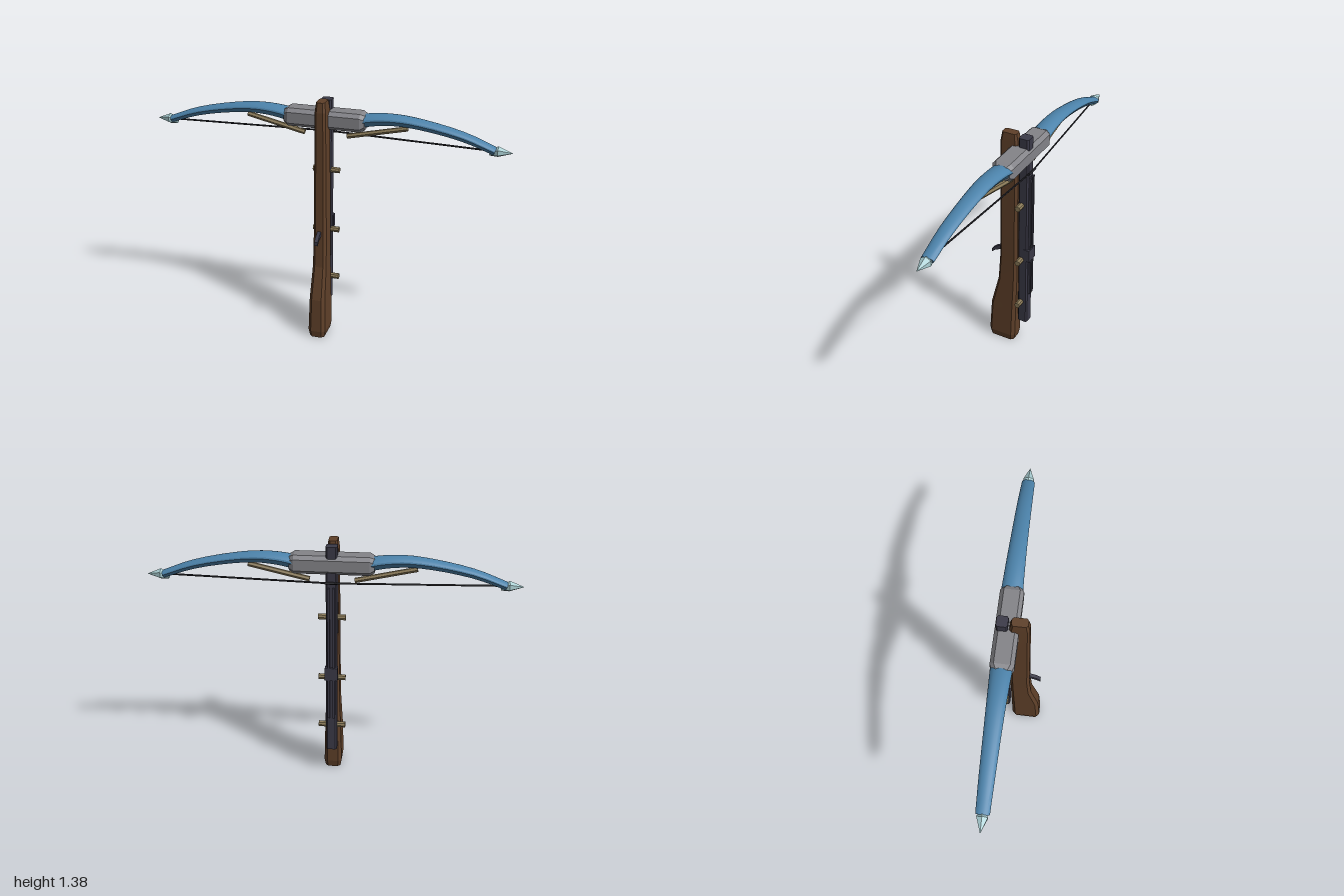
import * as THREE from 'three';
import { toCreasedNormals } from 'three/addons/utils/BufferGeometryUtils.js';

const material = (name, color, side = THREE.FrontSide) => {
  const m = new THREE.MeshStandardMaterial({ color, side });
  m.name = name;
  return m;
};

// Joins rings of points (counter-clockwise about the direction of travel) and caps both ends.
function loft(rings, crease = 0.3) {
  const pos = [];
  const n = rings[0].length;
  const tri = (a, b, c) => pos.push(...a, ...b, ...c);
  for (let i = 0; i < rings.length - 1; i++) {
    for (let j = 0; j < n; j++) {
      const k = (j + 1) % n;
      const [a, b, c, d] = [rings[i][j], rings[i][k], rings[i + 1][k], rings[i + 1][j]];
      tri(a, b, c);
      tri(a, c, d);
    }
  }
  const first = rings[0], last = rings[rings.length - 1];
  for (let j = 1; j < n - 1; j++) {
    tri(first[0], first[j + 1], first[j]);
    tri(last[0], last[j], last[j + 1]);
  }
  const g = new THREE.BufferGeometry();
  g.setAttribute('position', new THREE.Float32BufferAttribute(pos, 3));
  return toCreasedNormals(g, crease);
}

// Rectangle with cut corners, counter-clockwise.
const cutRect = (u0, u1, v0, v1, c) => [
  [u0 + c, v0], [u1 - c, v0], [u1, v0 + c], [u1, v1 - c],
  [u1 - c, v1], [u0 + c, v1], [u0, v1 - c], [u0, v0 + c],
];

export function createModel() {
  const root = new THREE.Group();
  root.name = 'crossbow';

  const wood = material('stock wood', 0x5f4029);
  const iron = material('dark iron', 0x3b3a48);
  const steel = material('grey steel', 0x848489);
  const blue = material('blue limb', 0x4c83ab);
  const pale = material('pale tip', 0xabd0d4);
  const brass = material('dull brass', 0x8a7a58);
  const cord = material('string cord', 0x24242a);

  const add = (name, geometry, mat, parent = root) => {
    const mesh = new THREE.Mesh(geometry, mat);
    mesh.name = name;
    parent.add(mesh);
    return mesh;
  };
  const box = (name, w, h, d, x, y, z, mat) =>
    add(name, new THREE.BoxGeometry(w, h, d), mat).position.set(x, y, z);
  const rod = (name, a, b, r, sides, mat, parent) => {
    const from = new THREE.Vector3(...a), to = new THREE.Vector3(...b);
    const dir = to.clone().sub(from);
    const g = toCreasedNormals(new THREE.CylinderGeometry(r, r, dir.length(), sides), 0.3);
    const mesh = add(name, g, mat, parent);
    mesh.position.copy(from).add(to).multiplyScalar(0.5);
    mesh.quaternion.setFromUnitVectors(new THREE.Vector3(0, 1, 0), dir.normalize());
  };

  // Stock: y, back z, front z, half width, corner cut
  const stock = [
    [0, -0.03, 0.122, 0.043, 0.016], [0.04, -0.038, 0.128, 0.05, 0.018],
    [0.24, -0.042, 0.117, 0.045, 0.017], [0.43, -0.046, 0.071, 0.039, 0.015],
    [0.6, -0.048, 0.06, 0.037, 0.014], [1.33, -0.048, 0.055, 0.03, 0.012],
    [1.383, -0.038, 0.046, 0.024, 0.01],
  ];
  add('stock', loft(stock.map(([y, z0, z1, w, c]) =>
    cutRect(z0, z1, -w, w, c).map(([z, x]) => [x, y, z])), 0.15), wood);

  // Rail behind the stock, with two guide strips and a latch
  add('rail', loft([0.165, 1.372].map((y) =>
    cutRect(-0.114, -0.055, -0.03, 0.03, 0.008).map(([z, x]) => [x, y, z]))), iron);
  for (const s of [-1, 1]) box('guideStrip', 0.012, 0.775, 0.016, s * 0.014, 0.762, -0.119, iron);
  box('latch', 0.07, 0.075, 0.035, 0, 0.648, -0.111, iron);

  // Cross pins
  for (const y of [0.31, 0.61, 0.97]) {
    rod('crossPin', [-0.075, y, -0.075], [0.075, y, -0.075], 0.017, 8, brass);
  }

  // Trigger: curved lever
  const lever = [[0.05, 0.637, 0.013], [0.075, 0.63, 0.013], [0.1, 0.617, 0.012], [0.121, 0.598, 0.011]];
  add('trigger', loft(lever.map(([z, y, h]) =>
    [[-0.01, y - h], [0.01, y - h], [0.01, y + h], [-0.01, y + h]].map(([x, v]) => [x, v, z]))), iron);

  // Riser block holding the limbs
  add('riser', loft([[-0.225, 0.012], [-0.2, 0], [0.2, 0], [0.225, 0.012]].map(([x, i]) =>
    cutRect(1.22 + i, 1.32 - i, -0.122 + i, 0 - i, 0.02).map(([y, z]) => [x, y, z]))), steel);

  // Limb section: domed above, sloping to a narrow flat face below
  const section = [];
  for (let i = 0; i <= 10; i++) {
    const a = Math.PI * i / 10;
    section.push([Math.sin(a), -Math.cos(a)]);
  }
  section.push([-1, 0.6], [-1, -0.6]);
  section.reverse();
  const path = new THREE.CatmullRomCurve3([
    [0.19, 1.274], [0.28, 1.29], [0.4, 1.296], [0.55, 1.28], [0.75, 1.238], [0.91, 1.18],
  ].map(([x, y]) => new THREE.Vector3(x, y, 0)));
  const limbRings = [];
  for (let i = 0; i <= 14; i++) {
    const t = i / 14;
    const p = path.getPoint(t), d = path.getTangent(t);
    const h = 0.032 - 0.014 * t, w = 0.057 - 0.022 * t;
    limbRings.push(section.map(([u, v]) => [p.x - d.y * u * h, p.y + d.x * u * h, v * w]));
  }
  // section was listed clockwise, so flip each ring to face outward
  limbRings.forEach((r) => r.reverse());
  const limbGeometry = loft(limbRings, 0.45);

  // Faceted spear tip
  const tipRings = [[0.882, 1.166, 0.014], [0.925, 1.178, 0.029], [0.999, 1.175, 0.001]].map(([x, y, r]) =>
    Array.from({ length: 6 }, (_, j) => {
      const a = j * Math.PI / 3;
      return [x, y + Math.cos(a) * r, Math.sin(a) * r * 1.1];
    }));
  const tipGeometry = loft(tipRings, 0.05);

  // Each side: limb, tip, brace and half of the string
  for (const side of [1, -1]) {
    const arm = new THREE.Group();
    arm.name = side > 0 ? 'leftArm' : 'rightArm';
    arm.position.z = -0.063;
    arm.rotation.y = side > 0 ? 0 : Math.PI;
    root.add(arm);
    add('limb', limbGeometry, blue, arm);
    add('limbTip', tipGeometry, pale, arm);
    rod('brace', [0.12, 1.178, 0], [0.448, 1.252, 0], 0.014, 6, brass, arm);
    rod('string', [0.9, 1.178, 0], [0, 1.178, -0.057 * side], 0.005, 6, cord, arm);
  }
  rod('stringServing', [-0.035, 1.178, -0.121], [0.035, 1.178, -0.121], 0.007, 6, cord);

  return root;
}
